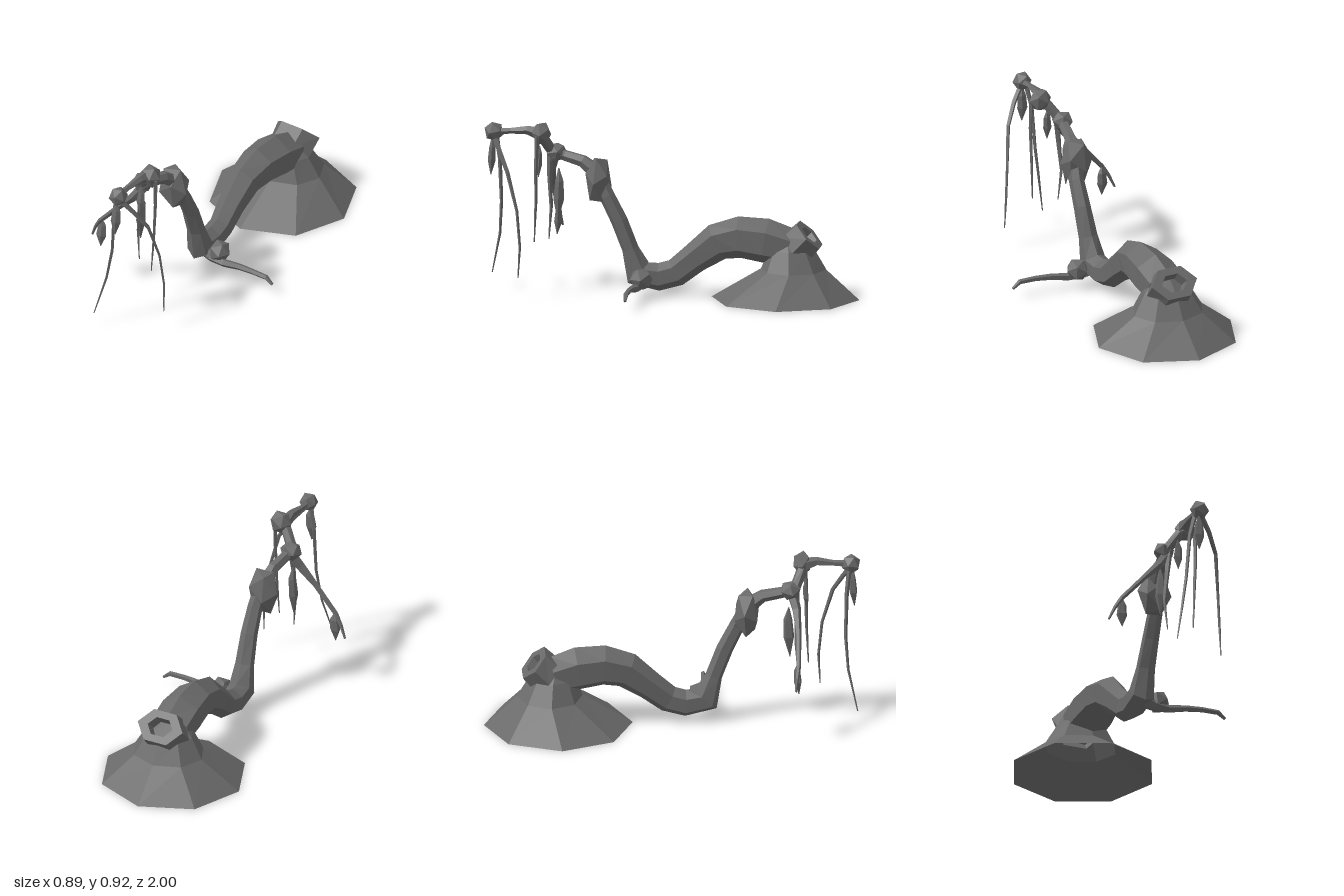
import * as THREE from 'three';

const V = (x, y, z) => new THREE.Vector3(x, y, z);
const wood = new THREE.MeshStandardMaterial({ color: 0x6a6a6a, flatShading: true, side: THREE.DoubleSide });
wood.name = 'dark grey wood';

// Loft through stations [x, y, z, rSide, rOther]; ref is the side direction, dir fixes the ring normal
function loft(stations, sides, { ref = V(1, 0, 0), dir = null, phase = 0, caps = true } = {}) {
  const c = stations.map(s => V(s[0], s[1], s[2]));
  const pos = [], idx = [], n = c.length;
  c.forEach((p, i) => {
    const t = dir ? dir.clone() : c[Math.min(i + 1, n - 1)].clone().sub(c[Math.max(i - 1, 0)]);
    t.normalize();
    const u = ref.clone().addScaledVector(t, -ref.dot(t)).normalize();
    const v = t.clone().cross(u);
    const [ra, rb = ra] = stations[i].slice(3);
    for (let j = 0; j < sides; j++) {
      const a = phase + j / sides * Math.PI * 2;
      const q = p.clone().addScaledVector(u, ra * Math.cos(a)).addScaledVector(v, rb * Math.sin(a));
      pos.push(q.x, q.y, q.z);
    }
  });
  for (let i = 0; i < n - 1; i++) for (let j = 0; j < sides; j++) {
    const k = (j + 1) % sides, a = i * sides, b = a + sides;
    idx.push(a + j, a + k, b + k, a + j, b + k, b + j);
  }
  if (caps) for (let j = 1; j < sides - 1; j++) {
    const e = (n - 1) * sides;
    idx.push(0, j + 1, j, e, e + j, e + j + 1);
  }
  const g = new THREE.BufferGeometry();
  g.setAttribute('position', new THREE.Float32BufferAttribute(pos, 3));
  g.setIndex(idx);
  const flat = g.toNonIndexed();
  flat.computeVertexNormals();
  return flat;
}

export function createModel() {
  const root = new THREE.Group();
  root.name = 'bentHollowTree';
  const add = (name, geo) => {
    const m = new THREE.Mesh(geo, wood);
    m.name = name;
    root.add(m);
    return m;
  };

  // Flared mound, open underneath
  add('rootMound', loft([
    [-0.05, 0, -0.605, 0.395], [-0.045, 0.16, -0.65, 0.2, 0.175],
    [-0.045, 0.27, -0.64, 0.135, 0.12], [-0.045, 0.34, -0.62, 0.06, 0.06], [-0.045, 0.35, -0.62, 0.001],
  ], 8, { dir: V(0, 1, 0), caps: false }));

  // Broken stump with a sunken hollow facing up and back
  add('hollowStump', loft([
    [-0.045, 0.27, -0.66, 0.13, 0.11], [-0.04, 0.347, -0.735, 0.135, 0.1],
    [-0.04, 0.347, -0.735, 0.075, 0.055], [-0.04, 0.3, -0.69, 0.06, 0.045], [-0.04, 0.29, -0.68, 0.001],
  ], 6, { dir: V(0, 0.69, -0.72), caps: false }));

  // Arching trunk, dipping low and then rising to the first knot
  add('trunk', loft([
    [-0.045, 0.28, -0.63, 0.12, 0.1], [-0.04, 0.31, -0.5, 0.12, 0.12],
    [-0.04, 0.325, -0.36, 0.105, 0.112], [-0.045, 0.295, -0.24, 0.085, 0.1],
    [-0.045, 0.205, -0.12, 0.07, 0.08], [-0.04, 0.125, -0.02, 0.062, 0.075],
    [-0.04, 0.1, 0.07, 0.065, 0.075], [-0.035, 0.12, 0.18, 0.068, 0.08],
    [-0.03, 0.25, 0.222, 0.052, 0.045], [-0.025, 0.4, 0.28, 0.045, 0.045],
    [-0.025, 0.53, 0.345, 0.04, 0.042], [-0.04, 0.64, 0.4, 0.04, 0.04],
  ], 6, { phase: Math.PI / 6 }));

  // Upper limb, linking the knots
  add('upperLimb', loft([
    [-0.05, 0.65, 0.4, 0.045], [-0.06, 0.71, 0.48, 0.034],
    [-0.08, 0.735, 0.58, 0.03], [-0.08, 0.76, 0.65, 0.03], [-0.01, 0.86, 0.7, 0.03],
  ], 6));
  add('topLimb', loft([
    [-0.01, 0.86, 0.69, 0.04], [-0.01, 0.88, 0.77, 0.024],
    [-0.02, 0.872, 0.86, 0.016], [-0.02, 0.865, 0.95, 0.02],
  ], 5));

  // Knots
  [
    ['trunkKnot', -0.05, 0.612, 0.395, 0.088, 0.135, 0.068, 0.3],
    ['limbKnot', -0.09, 0.75, 0.625, 0.058, 0.05, 0.056, 0.8],
    ['crownKnot', 0.008, 0.865, 0.692, 0.06, 0.064, 0.05, 0.5],
    ['tipKnot', -0.02, 0.866, 0.95, 0.048, 0.052, 0.05, 0.2],
    ['lowKnot', 0.073, 0.105, 0.15, 0.058, 0.062, 0.06, 0.6],
  ].forEach(([name, x, y, z, sx, sy, sz, turn]) => {
    const g = new THREE.IcosahedronGeometry(1.06, 0).rotateY(turn).rotateX(turn);
    add(name, g.scale(sx, sy, sz).translate(x, y, z));
  });

  // Sideways branches
  const along = { ref: V(0, 0, 1) };
  add('lowBranch', loft([
    [-0.04, 0.11, 0.16, 0.05], [0.04, 0.07, 0.17, 0.032], [0.12, 0.062, 0.175, 0.022],
    [0.22, 0.08, 0.18, 0.018], [0.31, 0.087, 0.185, 0.015], [0.4, 0.086, 0.187, 0.014],
    [0.44, 0.055, 0.187, 0.008],
  ], 5, along));
  add('sideBranch', loft([
    [-0.07, 0.74, 0.63, 0.03], [-0.13, 0.655, 0.655, 0.025], [-0.22, 0.56, 0.66, 0.015],
    [-0.345, 0.42, 0.655, 0.013], [-0.38, 0.365, 0.645, 0.01], [-0.41, 0.297, 0.635, 0.006],
  ], 5, along));

  // Hanging twigs
  [
    [[0, 0.83, 0.94, 0.014], [0.05, 0.77, 0.91, 0.013], [0.11, 0.67, 0.86, 0.011],
      [0.145, 0.47, 0.805, 0.008], [0.162, 0.28, 0.787, 0.007], [0.166, 0.115, 0.796, 0.003]],
    [[-0.04, 0.84, 0.94, 0.014], [-0.065, 0.72, 0.925, 0.011], [-0.082, 0.48, 0.918, 0.009],
      [-0.11, 0.3, 0.93, 0.007], [-0.158, 0.08, 0.978, 0.003]],
    [[0.052, 0.86, 0.71, 0.013], [0.054, 0.7, 0.715, 0.01], [0.046, 0.5, 0.717, 0.008], [0.036, 0.285, 0.727, 0.003]],
    [[-0.07, 0.77, 0.65, 0.022], [-0.085, 0.62, 0.66, 0.014], [-0.1, 0.45, 0.655, 0.009], [-0.085, 0.28, 0.665, 0.003]],
  ].forEach((path, i) => add('hangingTwig' + (i + 1), loft(path, 4)));

  // Folded hanging leaves: x, top y, z, length, half width, half depth
  [
    [-0.342, 0.43, 0.65, 0.172, 0.03, 0.022],
    [-0.108, 0.66, 0.615, 0.28, 0.026, 0.03],
    [-0.028, 0.83, 0.962, 0.2, 0.03, 0.022],
    [-0.045, 0.79, 0.71, 0.17, 0.025, 0.015],
  ].forEach(([x, y, z, len, w, d], i) => add('leaf' + (i + 1), loft([
    [x, y, z, 0.003], [x + 0.004, y - len * 0.25, z - 0.004, w * 0.8, d * 0.8],
    [x, y - len * 0.6, z, w, d], [x, y - len, z + 0.006, 0.002],
  ], 5)));

  return root;
}
